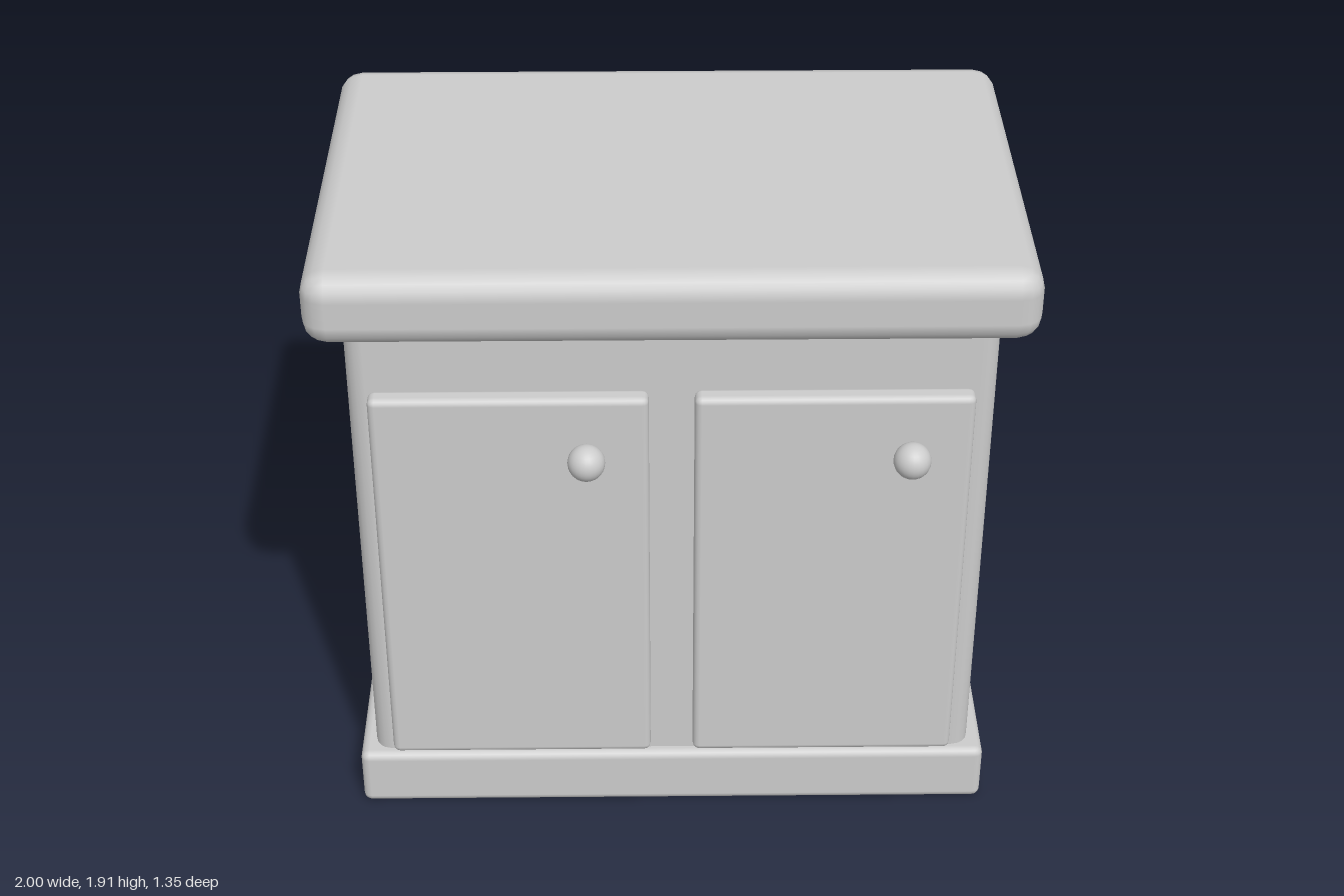
import * as THREE from 'three';
import { RoundedBoxGeometry } from 'three/addons/geometries/RoundedBoxGeometry.js';

export function createModel() {
  const group = new THREE.Group();
  group.name = 'cabinet';
  const paint = new THREE.MeshStandardMaterial({ color: 0xcccccc });
  paint.name = 'light grey';

  // Rounded block given by its extents on each axis
  function block(name, [x0, x1], [y0, y1], [z0, z1], radius) {
    const geometry = new RoundedBoxGeometry(x1 - x0, y1 - y0, z1 - z0, 2, radius);
    const mesh = new THREE.Mesh(geometry, paint);
    mesh.position.set((x0 + x1) / 2, (y0 + y1) / 2, (z0 + z1) / 2);
    mesh.name = name;
    group.add(mesh);
  }

  block('plinth', [-0.95, 0.95], [0, 0.19], [-0.592, 0.555], 0.025);
  block('body', [-0.906, 0.906], [0.1, 1.715], [-0.56, 0.523], 0.055);
  block('worktop', [-1, 1], [1.69, 1.907], [-0.673, 0.633], 0.07);

  // Two doors, each with a round knob near its upper corner
  const doors = [
    { side: 'right', x: -0.455, knobX: -0.24 },
    { side: 'left', x: 0.452, knobX: 0.667 },
  ];
  for (const { side, x, knobX } of doors) {
    block(side + 'Door', [x - 0.39, x + 0.39], [0.215, 1.49], [0.51, 0.574], 0.02);
    const knob = new THREE.Mesh(new THREE.SphereGeometry(0.053, 24, 16), paint);
    knob.position.set(knobX, 1.315, 0.622);
    knob.name = side + 'Knob';
    group.add(knob);
  }
  return group;
}
